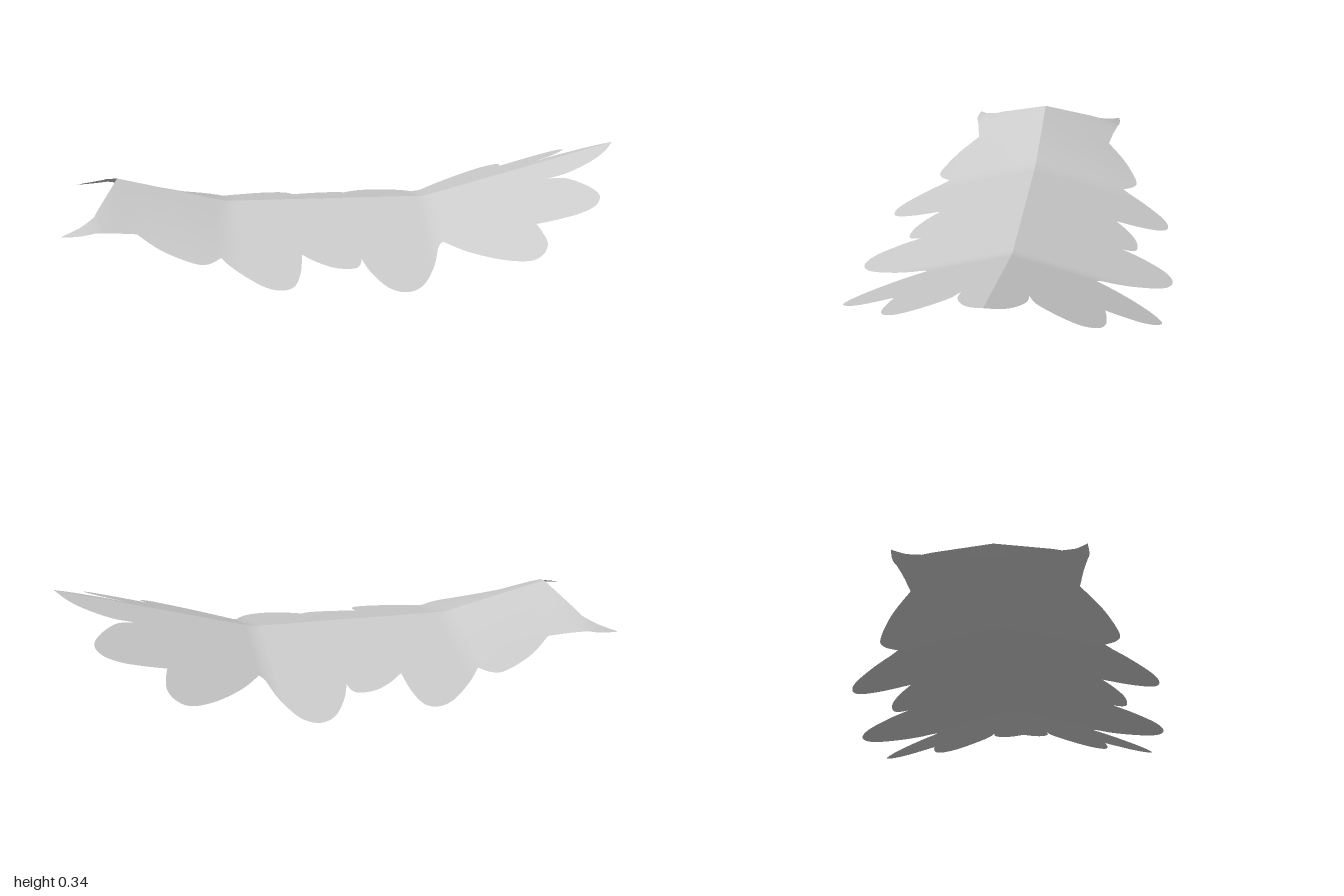
import * as THREE from 'three';

// Height of the midrib along x, and how steeply the blade falls away from it
const MIDRIB = [[-1, 0.294], [-0.82, 0.25], [-0.43, 0.154], [0.3, 0.154], [1, 0.345]];
const FALL = [[-1, 0.53], [-0.88, 0.4], [-0.74, 0.37], [-0.53, 0.3], [-0.43, 0.272], [1, 0.272]];

function lerpTable(table, x) {
  let i = 0;
  while (i < table.length - 2 && x > table[i + 1][0]) i++;
  const [x0, y0] = table[i], [x1, y1] = table[i + 1];
  return y0 + (y1 - y0) * (x - x0) / (x1 - x0);
}
const height = (x, z) => lerpTable(MIDRIB, x) - lerpTable(FALL, x) * z;

// Lobes of one half of the blade, each a smooth curve between sharp notches
const LOBES = [
  [[-0.89, 0.22], [-0.935, 0.265], [-1, 0.3]],
  [[-1, 0.3], [-0.92, 0.304], [-0.82, 0.285], [-0.74, 0.272]],
  [[-0.74, 0.272], [-0.65, 0.345], [-0.54, 0.396], [-0.49, 0.39], [-0.45, 0.35]],
  [[-0.45, 0.35], [-0.39, 0.43], [-0.31, 0.51], [-0.25, 0.535], [-0.205, 0.515], [-0.18, 0.44], [-0.17, 0.34]],
  [[-0.17, 0.34], [-0.12, 0.385], [-0.06, 0.42], [0, 0.427], [0.025, 0.41], [0.035, 0.375]],
  [[0.035, 0.375], [0.06, 0.45], [0.11, 0.535], [0.17, 0.564], [0.23, 0.53], [0.28, 0.43], [0.31, 0.325], [0.33, 0.3]],
  [[0.33, 0.3], [0.4, 0.39], [0.5, 0.483], [0.59, 0.534], [0.64, 0.52], [0.665, 0.47], [0.66, 0.4], [0.65, 0.35]],
  [[0.65, 0.35], [0.72, 0.358], [0.8, 0.36], [0.86, 0.34], [0.885, 0.29], [0.86, 0.22], [0.8, 0.14], [0.735, 0.11]],
  [[0.735, 0.11], [0.81, 0.11], [0.9, 0.083], [0.96, 0.046], [1, 0]],
];

function halfOutline() {
  const pts = [new THREE.Vector2(-0.82, 0)];
  for (const lobe of LOBES) {
    const curve = new THREE.SplineCurve(lobe.map(([x, z]) => new THREE.Vector2(x, z)));
    pts.push(...curve.getPoints(lobe.length * 6).slice(0, -1));
  }
  pts.push(new THREE.Vector2(1, 0));
  return pts;
}

// Keep the part of a polygon where sign * (x - cut) >= 0
function clip(poly, cut, sign) {
  const out = [];
  poly.forEach((a, i) => {
    const b = poly[(i + 1) % poly.length];
    const da = sign * (a.x - cut), db = sign * (b.x - cut);
    if (da >= 0) out.push(a);
    if (da * db < 0) out.push(a.clone().lerp(b, da / (da - db)));
  });
  return out;
}

// One half of the blade, cut into slabs so that it bends cleanly; side is +1 or -1 in z
function halfBlade(side) {
  const outline = halfOutline();
  const cuts = [-1.01, -0.94, -0.88, -0.82, -0.74, -0.67, -0.6, -0.53, -0.47, -0.43, -0.39, 0.27, 0.3, 0.33, 1.01];
  const position = [], normal = [], index = [];
  const h = 0.03;
  for (let s = 0; s < cuts.length - 1; s++) {
    const poly = clip(clip(outline, cuts[s], 1), cuts[s + 1], -1)
      .filter((p, i, all) => i === 0 || p.distanceTo(all[i - 1]) > 1e-6);
    if (poly.length < 3) continue;
    const base = position.length / 3;
    for (const p of poly) {
      position.push(p.x, height(p.x, p.y), side * p.y);
      const slope = (height(p.x + h, p.y) - height(p.x - h, p.y)) / (2 * h);
      const n = new THREE.Vector3(-slope, 1, side * lerpTable(FALL, p.x)).normalize();
      normal.push(n.x, n.y, n.z);
    }
    for (const [a, b, c] of THREE.ShapeUtils.triangulateShape(poly, [])) {
      const turn = THREE.ShapeUtils.area([poly[a], poly[b], poly[c]]) * side;
      // upper face outward
      if (turn > 0) index.push(base + a, base + c, base + b);
      else index.push(base + a, base + b, base + c);
    }
  }
  const geo = new THREE.BufferGeometry();
  geo.setAttribute('position', new THREE.Float32BufferAttribute(position, 3));
  geo.setAttribute('normal', new THREE.Float32BufferAttribute(normal, 3));
  geo.setIndex(index);
  return geo;
}

export function createModel() {
  const leaf = new THREE.Group();
  leaf.name = 'leaf';
  const material = new THREE.MeshStandardMaterial({ color: 0xcccccc, side: THREE.DoubleSide });
  // Two mirrored halves meet in a sharp fold along the midrib
  for (const [name, side] of [['frontBladeHalf', 1], ['backBladeHalf', -1]]) {
    const half = new THREE.Mesh(halfBlade(side), material);
    half.name = name;
    leaf.add(half);
  }
  return leaf;
}
